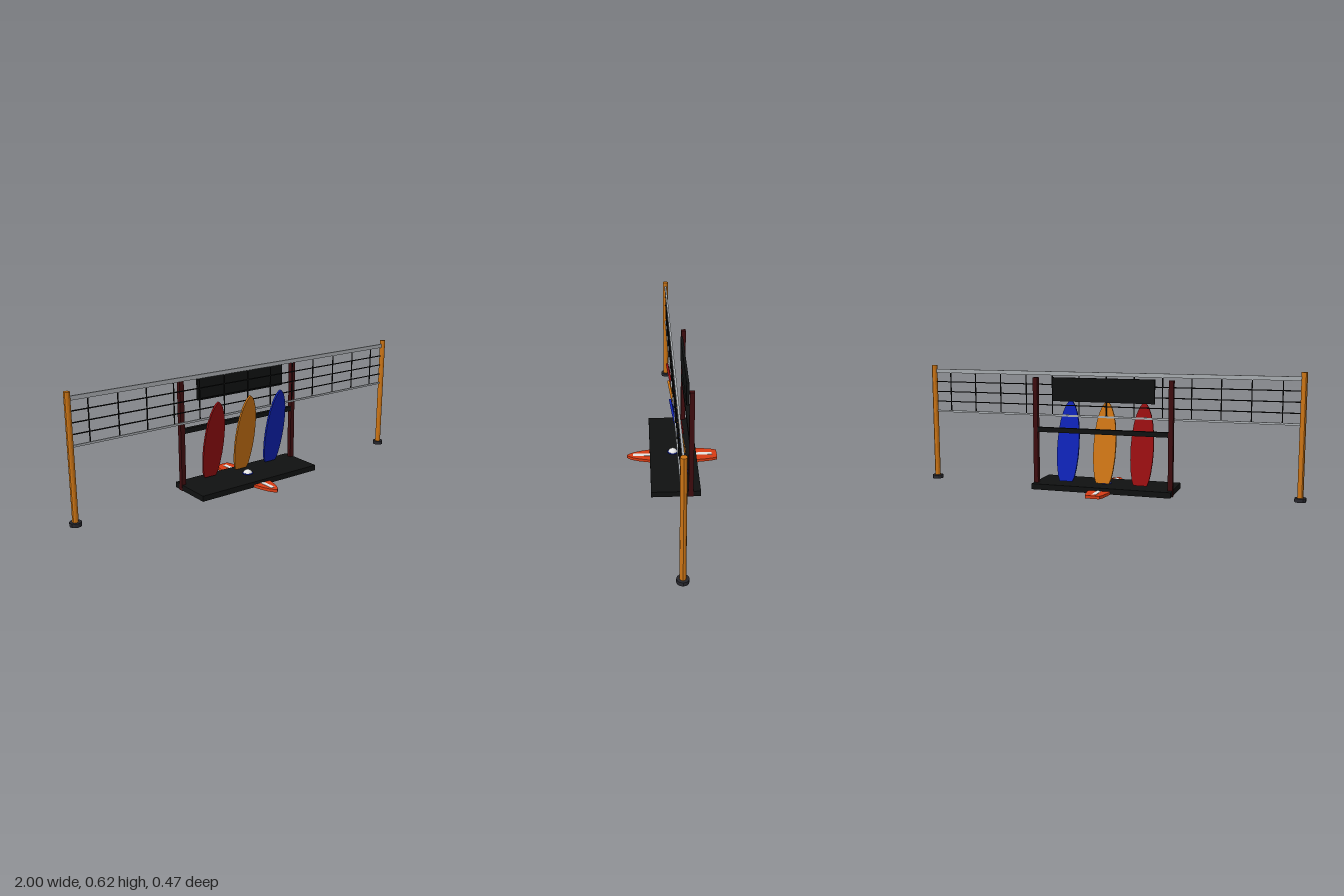
import * as THREE from 'three';

const mat = (name, color, flatShading = false) => {
  const m = new THREE.MeshStandardMaterial({ color, flatShading });
  m.name = name;
  return m;
};

export function createModel() {
  const wood = mat('orange wood', 0xcc7414, true);
  const red = mat('red', 0x960e10);
  const blue = mat('blue', 0x0e22b4);
  const coral = mat('orange red', 0xd83c14);
  const maroon = mat('dark maroon', 0x3e0c0e);
  const black = mat('black', 0x101111);
  const slate = mat('dark slate', 0x26262c, true);
  const grey = mat('light grey', 0xa8acb0);
  const white = mat('white', 0xe4e4e4);

  const model = new THREE.Group();
  const group = (name) => {
    const g = new THREE.Group();
    g.name = name;
    model.add(g);
    return g;
  };
  const add = (parent, name, geometry, material, x, y, z) => {
    const mesh = new THREE.Mesh(geometry, material);
    mesh.name = name;
    mesh.position.set(x, y, z);
    parent.add(mesh);
    return mesh;
  };
  const box = (parent, name, material, w, h, d, x, y, z) =>
    add(parent, name, new THREE.BoxGeometry(w, h, d), material, x, y, z);

  // Flat board with a square tail at y = 0 and a rounded nose at y = length
  const boardGeometry = (length, width, thickness) => {
    const half = [[0, 0.58], [0.06, 0.74], [0.16, 0.87], [0.3, 0.97], [0.45, 1], [0.6, 0.95],
      [0.74, 0.83], [0.85, 0.64], [0.93, 0.42], [0.98, 0.18]]
      .map(([t, w]) => new THREE.Vector2(w * width / 2, t * length));
    const mirrored = half.map((p) => new THREE.Vector2(-p.x, p.y)).reverse();
    const shape = new THREE.Shape([...half, new THREE.Vector2(0, length), ...mirrored]);
    return new THREE.ExtrudeGeometry(shape, { depth: thickness, bevelEnabled: false });
  };

  // Net posts with weighted feet
  const netZ = -0.004;
  const postX = 0.97;
  for (const [side, s] of [['left', 1], ['right', -1]]) {
    const post = group(side + 'NetPost');
    add(post, 'post', new THREE.CylinderGeometry(0.0145, 0.0145, 0.62, 12), wood, s * postX, 0.31, netZ);
    add(post, 'foot', new THREE.CylinderGeometry(0.028, 0.028, 0.019, 12), slate, s * postX, 0.0095, netZ);
  }

  // Net: two bands and a mesh of thin cords
  const net = group('net');
  box(net, 'topBand', grey, 2 * postX, 0.02, 0.01, 0, 0.589, netZ);
  box(net, 'bottomBand', grey, 2 * postX, 0.01, 0.008, 0, 0.372, netZ);
  for (const y of [0.425, 0.478, 0.531]) {
    box(net, 'horizontalCord', black, 2 * postX, 0.005, 0.004, 0, y, netZ);
  }
  for (let k = -6; k <= 6; k++) {
    box(net, 'verticalCord', black, 0.005, 0.212, 0.004, k * 0.1457, 0.478, netZ);
  }

  // Rack: platform, uprights, crossbar and plain sign panel
  const rack = group('boardRack');
  box(rack, 'platform', black, 0.726, 0.029, 0.243, 0, 0.0155, -0.0055);
  for (const s of [1, -1]) {
    box(rack, 'upright', maroon, 0.024, 0.572, 0.024, s * 0.353, 0.286, -0.078);
  }
  box(rack, 'crossbar', black, 0.69, 0.024, 0.022, 0, 0.306, -0.078);
  box(rack, 'signPanel', black, 0.533, 0.12, 0.013, 0, 0.513, -0.0635);

  // Leaning boards
  const boards = group('leaningBoards');
  const leaning = boardGeometry(0.42, 0.118, 0.011);
  [[-0.196, red], [0, wood], [0.196, blue]].forEach(([x, material]) => {
    add(boards, 'leaningBoard', leaning, material, x, 0.042, -0.0725).rotation.x = 0.202;
  });

  // Board lying through the platform with a centre stripe
  const floor = group('floorBoard');
  const lying = add(floor, 'board', boardGeometry(0.475, 0.124, 0.015), coral, 0, 0.015, -0.2375);
  lying.rotation.x = Math.PI / 2;
  box(floor, 'stripe', white, 0.022, 0.002, 0.415, 0, 0.0155, -0.004);

  // Ball with a coloured band
  const ball = group('ball');
  add(ball, 'ballBody', new THREE.SphereGeometry(0.026, 20, 14), white, 0, 0.025, -0.005);
  const band = add(ball, 'ballBand', new THREE.TorusGeometry(0.0245, 0.003, 8, 24), blue, 0, 0.032, -0.005);
  band.rotation.x = Math.PI / 2;

  return model;
}
